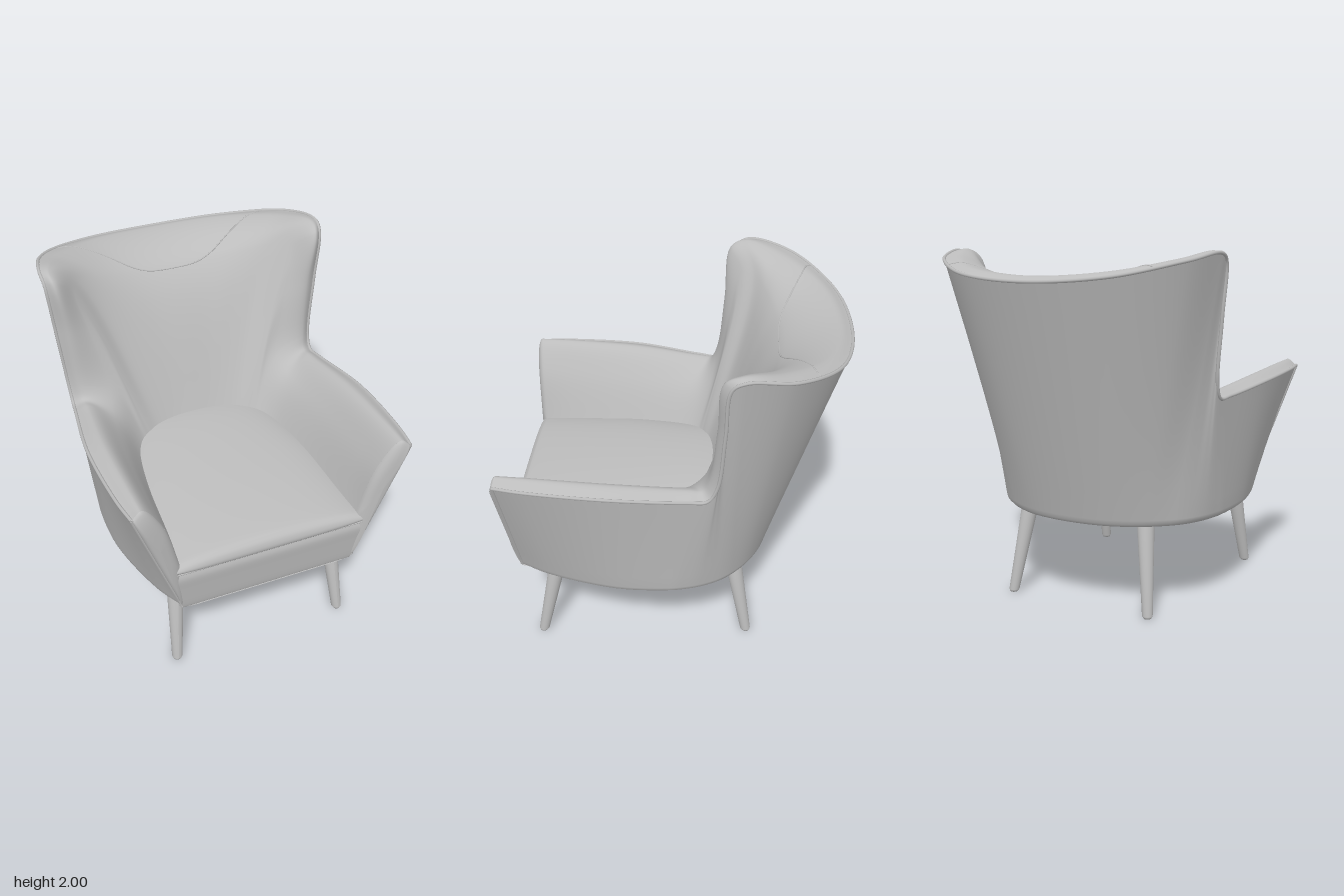
import * as THREE from 'three';

const V = (x, y, z) => new THREE.Vector3(x, y, z);

// Mirror half a rail (left arm front to back centre) into a full curve round the shell.
function rail(half) {
  const left = half.map((p) => V(...p));
  const right = left.slice(0, -1).reverse().map((p) => V(-p.x, p.y, p.z));
  return new THREE.CatmullRomCurve3([...left, ...right]);
}

// Skin a grid of points with smooth normals.
function loft(rows) {
  const n = rows[0].length, index = [];
  for (let i = 0; i < rows.length - 1; i++) {
    for (let j = 0; j < n - 1; j++) {
      const a = i * n + j, b = a + n;
      index.push(a, b, a + 1, b, b + 1, a + 1);
    }
  }
  const g = new THREE.BufferGeometry().setFromPoints(rows.flat());
  g.setIndex(index);
  g.computeVertexNormals();
  return g;
}

// Stations: arm front, along the arm, up the wing edge, round the back to its centre.
const base = rail([
  [0.522, 0.55, 0.872], [0.605, 0.55, 0.7], [0.703, 0.55, 0.3], [0.7, 0.55, 0],
  [0.685, 0.55, -0.08], [0.667, 0.55, -0.145], [0.64, 0.55, -0.21], [0.6, 0.55, -0.28],
  [0.54, 0.55, -0.35], [0.42, 0.55, -0.445], [0.24, 0.55, -0.527], [0, 0.55, -0.557],
]);
const rim = rail([
  [0.78, 1.272, 0.915], [0.803, 1.268, 0.75], [0.815, 1.25, 0.3], [0.765, 1.215, -0.1],
  [0.752, 1.215, -0.2], [0.755, 1.3, -0.25], [0.79, 1.65, -0.285], [0.82, 1.94, -0.31],
  [0.825, 1.985, -0.38], [0.75, 1.95, -0.62], [0.45, 1.875, -0.86], [0, 1.845, -0.94],
]);
const crown = rail([
  [0.725, 1.31, 0.905], [0.725, 1.305, 0.75], [0.72, 1.28, 0.3], [0.69, 1.245, -0.1],
  [0.69, 1.245, -0.17], [0.7, 1.32, -0.21], [0.725, 1.65, -0.245], [0.775, 1.95, -0.27],
  [0.775, 1.995, -0.36], [0.66, 1.955, -0.56], [0.41, 1.9, -0.78], [0, 1.872, -0.86],
]);
const inner = rail([
  [0.61, 1.15, 0.885], [0.61, 1.145, 0.72], [0.592, 1.13, 0.3], [0.55, 1.12, 0],
  [0.53, 1.15, -0.11], [0.52, 1.25, -0.2], [0.595, 1.6, -0.285], [0.65, 1.84, -0.345],
  [0.6, 1.85, -0.42], [0.46, 1.81, -0.49], [0.25, 1.765, -0.54], [0, 1.75, -0.555],
]);
const foot = rail([
  [0.512, 0.8, 0.865], [0.488, 0.8, 0.7], [0.447, 0.8, 0.3], [0.395, 0.8, 0.04],
  [0.363, 0.8, -0.03], [0.332, 0.8, -0.07], [0.297, 0.8, -0.1], [0.257, 0.8, -0.12],
  [0.212, 0.8, -0.135], [0.155, 0.8, -0.145], [0.09, 0.8, -0.15], [0, 0.8, -0.15],
]);

// Outer wall section: rolled under at the bottom, straight up to the rim.
function outerSection(t) {
  const b = base.getPoint(t), r = rim.getPoint(t);
  const rolled = [[0.8, 0.497], [0.9, 0.501], [0.965, 0.511], [0.991, 0.528]].map(
    ([k, y]) => V(b.x * k, y, b.z > 0 ? b.z : b.z * k));
  const wall = [];
  for (let i = 0; i <= 8; i++) wall.push(b.clone().lerp(r, i / 8));
  return [...rolled, ...wall];
}

// Padded section: from the rim over the crown and down to the seat.
const paddedCurve = (t) => new THREE.CatmullRomCurve3(
  [rim, crown, inner, foot].map((c) => c.getPoint(t)));

export function createModel() {
  const chair = new THREE.Group();
  chair.name = 'armchair';
  const grey = new THREE.MeshStandardMaterial({ color: 0xbcbcbc, side: THREE.DoubleSide });
  grey.name = 'grey';
  const add = (name, geometry) => {
    const mesh = new THREE.Mesh(geometry, grey);
    mesh.name = name;
    chair.add(mesh);
  };
  const tube = (name, points, radius) => add(name, new THREE.TubeGeometry(
    new THREE.CatmullRomCurve3(points), points.length * 3, radius, 6));

  // Shell: outer wall, padded lining and underside
  const steps = 154;
  const ts = Array.from({ length: steps + 1 }, (_, i) => i / steps);
  add('outerShell', loft(ts.map(outerSection)));
  add('paddedLining', loft(ts.map((t) => paddedCurve(t).getPoints(27))));
  add('underside', loft(ts.slice(0, steps / 2 + 1).map(
    (t) => [outerSection(t)[0], outerSection(1 - t)[0]])));

  // Piping along the rim
  tube('rimPiping', ts.map((t) => rim.getPoint(t)), 0.01);

  // Headrest seam, dipping across the padding
  const seam = [];
  for (let i = 0; i <= 40; i++) {
    const k = Math.sin((i / 40 - 0.5) * Math.PI);
    seam.push(paddedCurve(0.5 + k * 0.07).getPoint(0.667 * Math.sqrt(1 - k ** 4)));
  }
  tube('headrestSeam', seam, 0.004);

  // Arm fronts: narrow rounded pads, piped along the slanting outer edge
  for (const t of [0, 1]) {
    const side = t ? -1 : 1;
    const name = t ? 'right' : 'left';
    const wallEdge = outerSection(t).slice(3);
    const outline = [...wallEdge, ...paddedCurve(t).getPoints(24).slice(1),
      V(side * 0.507, 0.65, 0.868), V(side * 0.505, 0.53, 0.868)];
    const ring = [...outline, outline[0]];
    const centre = V(side * 0.64, 1.02, 0.895);
    const dome = [0, 0.02, 0.06, 0.13, 0.23, 0.36, 0.55, 1].map((k) => ring.map((p) => {
      const q = p.clone().lerp(centre, k);
      q.z += 0.032 * Math.sqrt(1 - (1 - Math.min(k / 0.55, 1)) ** 2);
      return q;
    }));
    add(name + 'ArmFront', loft(dome));
    tube(name + 'ArmPiping', wallEdge, 0.01);
  }

  // Seat: front apron and domed cushion, each swept across the width
  const across = (profile, halfWidth, dome) => {
    const rows = [];
    for (let i = 0; i <= 28; i++) {
      const u = i / 14 - 1;
      const drop = Math.abs(u) ** 6;
      rows.push(profile.map((p) => {
        const lift = Math.max(0, p.y - 0.8) / 0.15;
        const taper = p.x > 0.3 ? 1 : 0.8 + 0.2 * (p.x + 0.4) / 0.7;
        return V(u * halfWidth(p.y) * taper,
          p.y - dome * lift * (u * u * 0.05 + drop * 0.04),
          p.x - dome * drop * 0.012);
      }));
    }
    return loft(rows);
  };
  const curve = (pts) => new THREE.SplineCurve(pts.map((p) => new THREE.Vector2(...p))).getPoints(36);
  add('seatApron', across(
    curve([[0.82, 0.497], [0.862, 0.5], [0.878, 0.525], [0.894, 0.66], [0.902, 0.74], [0.893, 0.785]]),
    (y) => 0.508 + (y - 0.5) * 0.17, 0));
  add('seatCushion', across(
    curve([[0.885, 0.783], [0.911, 0.797], [0.914, 0.83], [0.893, 0.868], [0.83, 0.89],
      [0.5, 0.925], [0.1, 0.95], [-0.15, 0.955], [-0.3, 0.94]]),
    () => 0.562, 1));
  tube('seatSeam', [-0.55, -0.3, 0, 0.3, 0.55].map((x) => V(x, 0.787, 0.899)), 0.005);

  // Splayed, tapered legs with chamfered tips
  const legProfile = [[0, 0], [0.022, 0], [0.03, 0.014], [0.05, 0.53], [0, 0.53]]
    .map((p) => new THREE.Vector2(...p));
  for (const side of [1, -1]) {
    for (const [name, x0, z0, x1, z1] of [
      ['FrontLeg', 0.517, 0.782, 0.48, 0.672], ['BackLeg', 0.446, -0.442, 0.385, -0.35]]) {
      const geometry = new THREE.LatheGeometry(legProfile, 20);
      // Shear the leg so that its foot stays flat on the floor
      const p = geometry.attributes.position;
      for (let i = 0; i < p.count; i++) {
        const k = p.getY(i) / 0.5;
        p.setX(i, p.getX(i) + side * (x0 + (x1 - x0) * k));
        p.setZ(i, p.getZ(i) + z0 + (z1 - z0) * k);
      }
      geometry.computeVertexNormals();
      add((side > 0 ? 'left' : 'right') + name, geometry);
    }
  }
  return chair;
}
